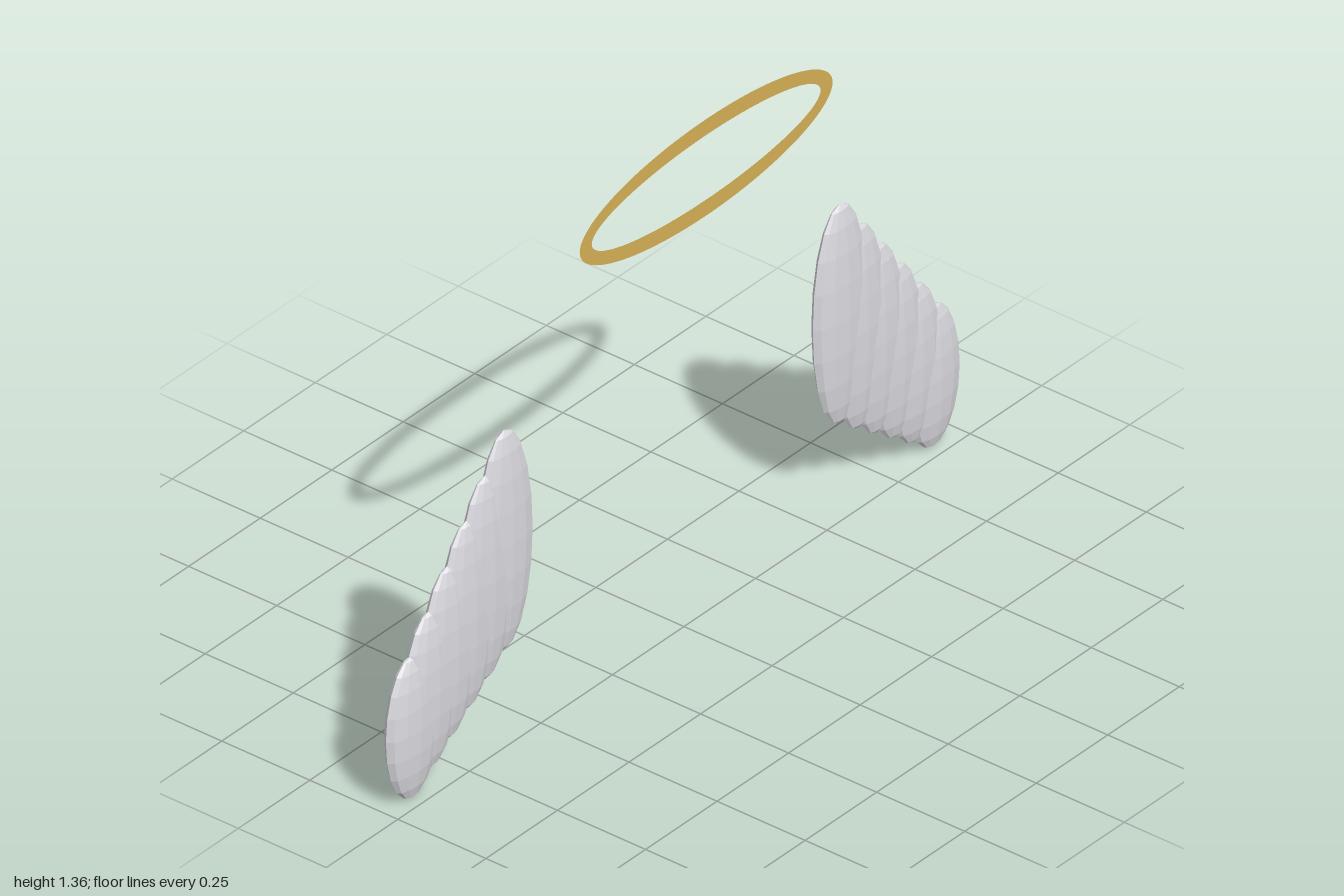
import * as THREE from 'three';

export function createModel() {
  const model = new THREE.Group();
  model.name = 'haloAndWings';

  const gold = new THREE.MeshStandardMaterial({ color: 0xd4af55, side: THREE.DoubleSide });
  gold.name = 'gold';
  const featherWhite = new THREE.MeshStandardMaterial({ color: 0xd8d8de, flatShading: true });
  featherWhite.name = 'featherWhite';

  // Halo: a flat elliptical band in front of the wings
  const band = new THREE.Shape();
  band.absellipse(0, 0, 0.442, 0.127, 0, Math.PI * 2, false, 0);
  const opening = new THREE.Path();
  opening.absellipse(0, 0, 0.4, 0.085, 0, Math.PI * 2, true, 0);
  band.holes.push(opening);
  const halo = new THREE.Mesh(new THREE.ShapeGeometry(band, 48), gold);
  halo.name = 'halo';
  halo.position.set(0, 1.235, 0.063);
  model.add(halo);

  // Wings: six overlapping feathers, shorter and lower toward the tip
  const featherCount = 6;
  const featherGeometry = new THREE.SphereGeometry(1, 12, 10);
  for (const side of [1, -1]) {
    const wing = new THREE.Group();
    wing.name = side > 0 ? 'leftWing' : 'rightWing';
    for (let i = 0; i < featherCount; i++) {
      const t = i / (featherCount - 1);
      const feather = new THREE.Mesh(featherGeometry, featherWhite);
      feather.name = 'feather' + (i + 1);
      feather.scale.set(
        THREE.MathUtils.lerp(0.095, 0.09, t),
        THREE.MathUtils.lerp(0.289, 0.187, t),
        0.029
      );
      feather.position.set(
        side * THREE.MathUtils.lerp(0.587, 0.91, t),
        THREE.MathUtils.lerp(0.513, 0.187, t),
        -0.034
      );
      wing.add(feather);
    }
    model.add(wing);
  }

  return model;
}
